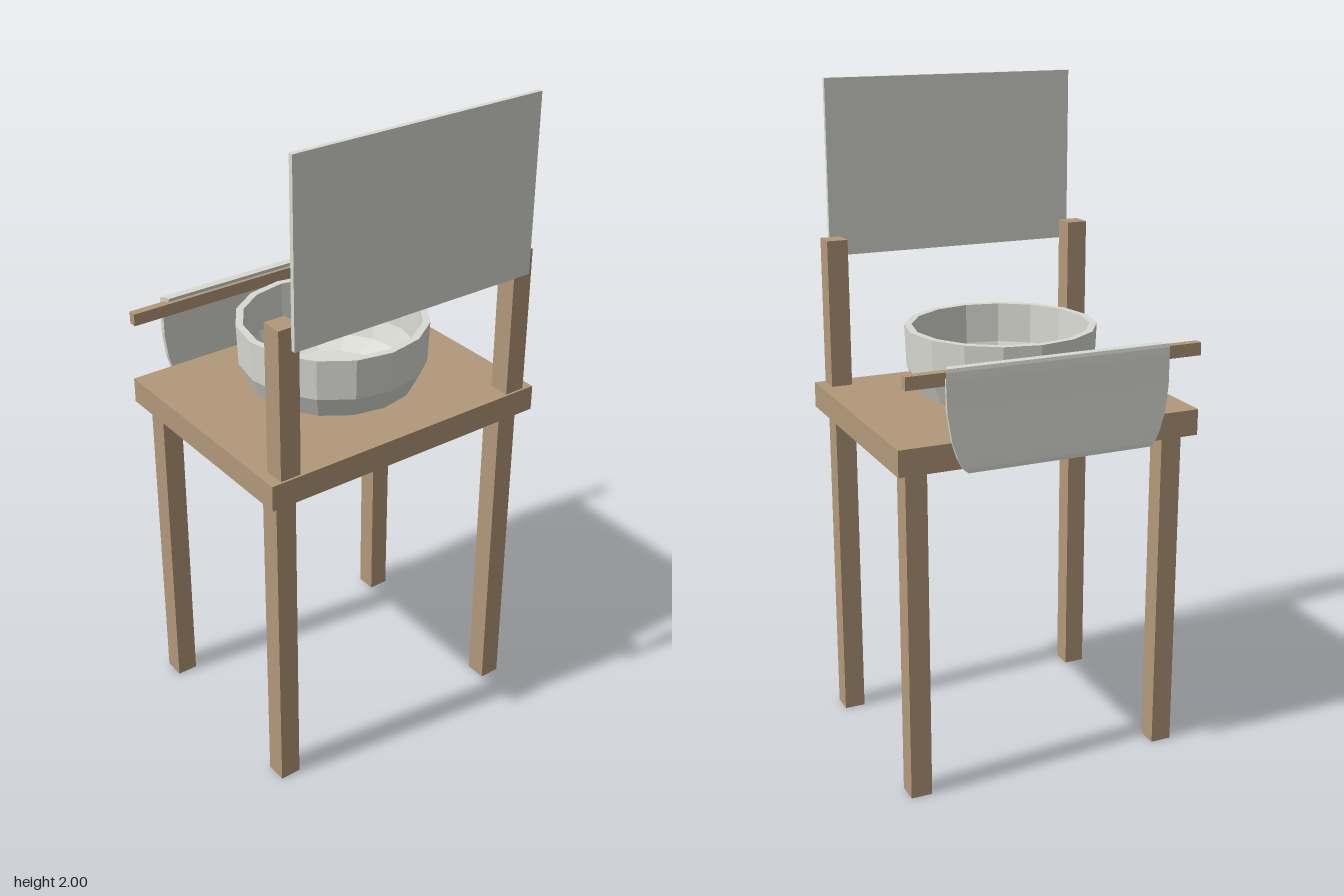
import * as THREE from 'three';

export function createModel() {
  const model = new THREE.Group();
  const wood = new THREE.MeshStandardMaterial({ color: 0xb2987a });
  wood.name = 'wood';
  const grey = new THREE.MeshStandardMaterial({ color: 0xdadad4 });
  grey.name = 'pale grey';

  const add = (name, geometry, material) => {
    const mesh = new THREE.Mesh(geometry, material);
    mesh.name = name;
    model.add(mesh);
    return mesh;
  };
  // Box given by its limits on each axis
  const box = (name, material, [x0, x1], [y0, y1], [z0, z1]) =>
    add(name, new THREE.BoxGeometry(x1 - x0, y1 - y0, z1 - z0), material)
      .position.set((x0 + x1) / 2, (y0 + y1) / 2, (z0 + z1) / 2);

  // Stand: table top, four legs, two upright posts
  box('tableTop', wood, [-0.465, 0.465], [1.005, 1.083], [-0.352, 0.382]);
  for (const side of [-1, 1]) {
    const label = side > 0 ? 'left' : 'right';
    const xs = [side * 0.4 - 0.032, side * 0.4 + 0.032];
    box(label + 'FrontLeg', wood, xs, [0, 1.005], [0.285, 0.35]);
    box(label + 'BackLeg', wood, xs, [0, 1.005], [-0.315, -0.25]);
    box(label + 'Post', wood, xs, [1.083, 1.532], [0.31, 0.375]);
  }

  // Mirror panel and towel rail
  box('mirrorPanel', grey, [-0.4, 0.4], [1.472, 2], [0.386, 0.4]);
  box('towelRail', wood, [-0.45, 0.45], [1.253, 1.291], [-0.378, -0.352]);

  // Basin: sixteen-sided shell, turned so corners lie on the axes
  const profile = [
    [0, 1.083], [0.18, 1.083], [0.25, 1.112], [0.28, 1.18], [0.285, 1.305],
    [0.263, 1.305], [0.258, 1.185], [0.235, 1.125], [0.172, 1.098], [0, 1.098],
  ].map(([r, y]) => new THREE.Vector2(r, y));
  const basin = new THREE.LatheGeometry(profile, 16).toNonIndexed();
  basin.computeVertexNormals();
  add('basin', basin, grey).position.z = 0.015;

  // Towel: rows of [y, front z, front half width, back z, back half width]
  const rows = [
    [1.302, -0.362, 0.325, -0.388, 0.338],
    [1.292, -0.364, 0.325, -0.39, 0.34],
    [1.27, -0.378, 0.338, -0.391, 0.34],
    [1.18, -0.38, 0.337, -0.394, 0.338],
    [1.1, -0.383, 0.325, -0.397, 0.326],
    [1.05, -0.385, 0.31, -0.399, 0.31],
    [1.02, -0.386, 0.295, -0.4, 0.295],
    [1.008, -0.386, 0.28, -0.4, 0.28],
  ];
  const points = [];
  const faces = [];
  for (const [y, zf, wf, zb, wb] of rows)
    points.push(-wf, y, zf, wf, y, zf, wb, y, zb, -wb, y, zb);
  for (let i = 0; i < rows.length - 1; i++) {
    for (let k = 0; k < 4; k++) {
      const a = i * 4 + k, b = i * 4 + (k + 1) % 4;
      faces.push(a, a + 4, b + 4, a, b + 4, b);
    }
  }
  const end = (rows.length - 1) * 4;
  faces.push(0, 1, 2, 0, 2, 3, end, end + 2, end + 1, end, end + 3, end + 2);
  const indexed = new THREE.BufferGeometry();
  indexed.setAttribute('position', new THREE.Float32BufferAttribute(points, 3));
  indexed.setIndex(faces);
  const towel = indexed.toNonIndexed();
  towel.computeVertexNormals();
  add('towel', towel, grey);

  return model;
}
